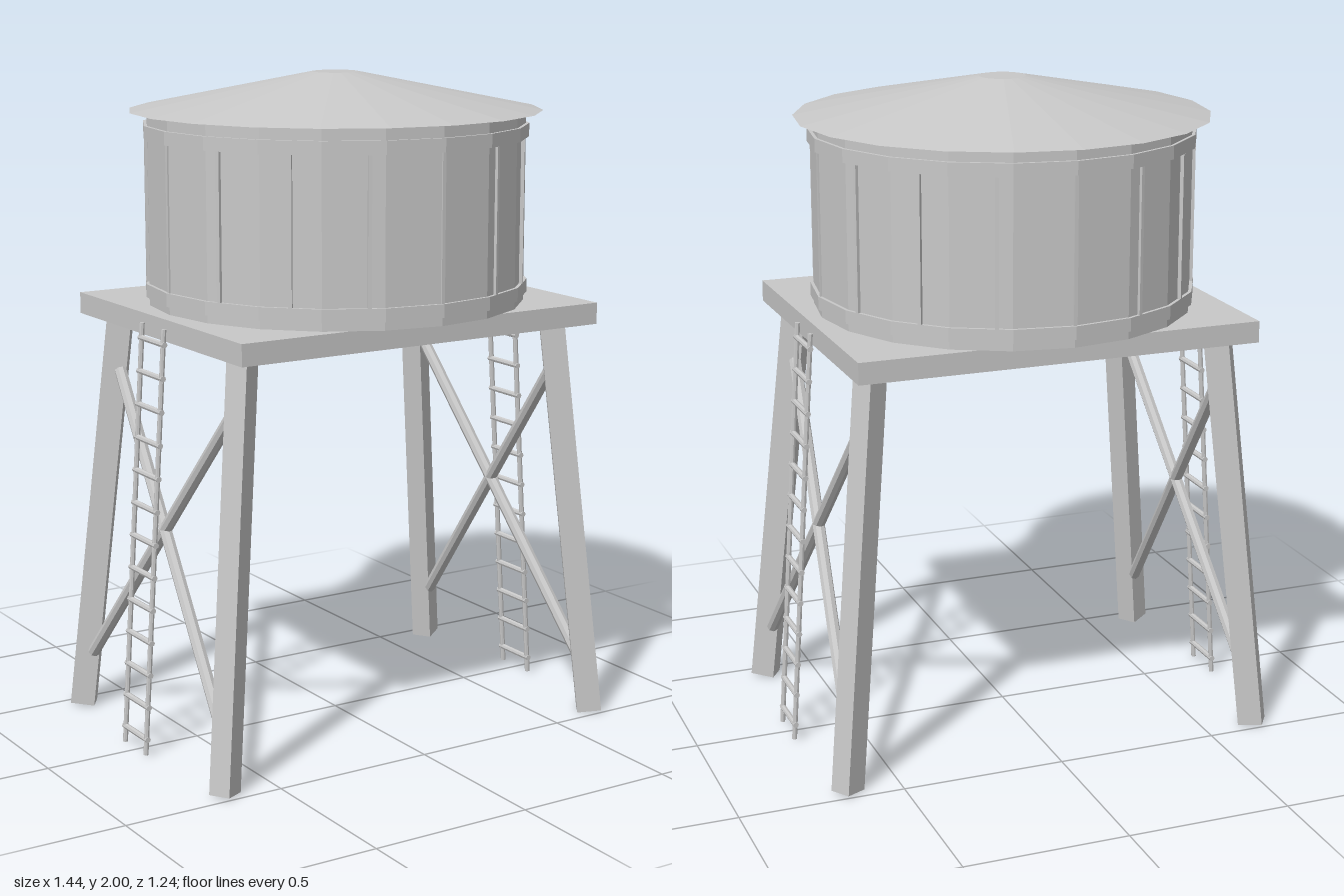
import * as THREE from 'three';

export function createModel() {
  const model = new THREE.Group();
  const gray = new THREE.MeshStandardMaterial({ color: 0xc8c8c8, flatShading: true });
  gray.name = 'plain gray';

  function add(name, geometry, parent = model) {
    const mesh = new THREE.Mesh(geometry, gray);
    mesh.name = name;
    parent.add(mesh);
    return mesh;
  }

  // Round stave parts share 20 sides
  function drum(name, rTop, rBottom, y0, y1) {
    add(name, new THREE.CylinderGeometry(rTop, rBottom, y1 - y0, 20)).position.y = (y0 + y1) / 2;
  }

  // Round bar between two points
  function bar(name, a, b, radius, parent) {
    const dir = b.clone().sub(a);
    const mesh = add(name, new THREE.CylinderGeometry(radius, radius, dir.length(), 8), parent);
    mesh.position.copy(a).add(b).multiplyScalar(0.5);
    mesh.quaternion.setFromUnitVectors(new THREE.Vector3(0, 1, 0), dir.normalize());
  }

  // Platform
  add('platform', new THREE.BoxGeometry(1.234, 0.065, 1)).position.y = 1.2825;

  // Tank, hoops and roof
  drum('tank', 0.571, 0.571, 1.315, 1.89);
  drum('lowerHoop', 0.581, 0.581, 1.34, 1.38);
  drum('upperHoop', 0.581, 0.581, 1.81, 1.85);
  drum('roof', 0.07, 0.622, 1.888, 2);

  // Vertical battens around the tank
  for (let i = 0; i < 16; i++) {
    const angle = (i * Math.PI) / 8;
    const batten = add('batten', new THREE.BoxGeometry(0.011, 0.43, 0.022));
    batten.position.set(Math.sin(angle) * 0.564, 1.595, Math.cos(angle) * 0.564);
    batten.rotation.y = angle;
  }

  // Splayed legs, each turned towards its corner
  const footX = 0.66, footZ = 0.455, topX = 0.542, topZ = 0.375, legTop = 1.255;
  const lean = Math.atan2(Math.hypot(footX - topX, footZ - topZ), 1.25);
  for (const sx of [-1, 1]) {
    for (const sz of [-1, 1]) {
      const pivot = new THREE.Group();
      pivot.name = 'leg';
      pivot.position.set((sx * (footX + topX)) / 2, legTop / 2 + 0.003, (sz * (footZ + topZ)) / 2);
      pivot.rotation.y = Math.atan2(-sz * footZ, sx * footX);
      const post = add('legPost', new THREE.BoxGeometry(0.075, 1.26, 0.064), pivot);
      post.rotation.z = lean;
      model.add(pivot);
    }
  }

  for (const side of [-1, 1]) {
    // Crossed braces between the legs of this side
    for (const flip of [-1, 1]) {
      bar('brace',
        new THREE.Vector3(side * 0.643, 0.18, flip * 0.41),
        new THREE.Vector3(side * 0.558, 1.09, -flip * 0.352), 0.019);
    }

    // Leaning ladder
    const ladder = new THREE.Group();
    ladder.name = side > 0 ? 'leftLadder' : 'rightLadder';
    model.add(ladder);
    const ladderX = (y) => side * (0.711 - 0.065 * y);
    for (const z of [-0.067, 0.067]) {
      bar('ladderRail',
        new THREE.Vector3(ladderX(0.005), 0.005, z),
        new THREE.Vector3(ladderX(1.288), 1.288, z), 0.008, ladder);
    }
    for (let i = 0; i < 13; i++) {
      const y = 0.053 + i * 0.0992;
      bar('ladderRung',
        new THREE.Vector3(ladderX(y), y, -0.077),
        new THREE.Vector3(ladderX(y), y, 0.077), 0.009, ladder);
    }
  }

  return model;
}
